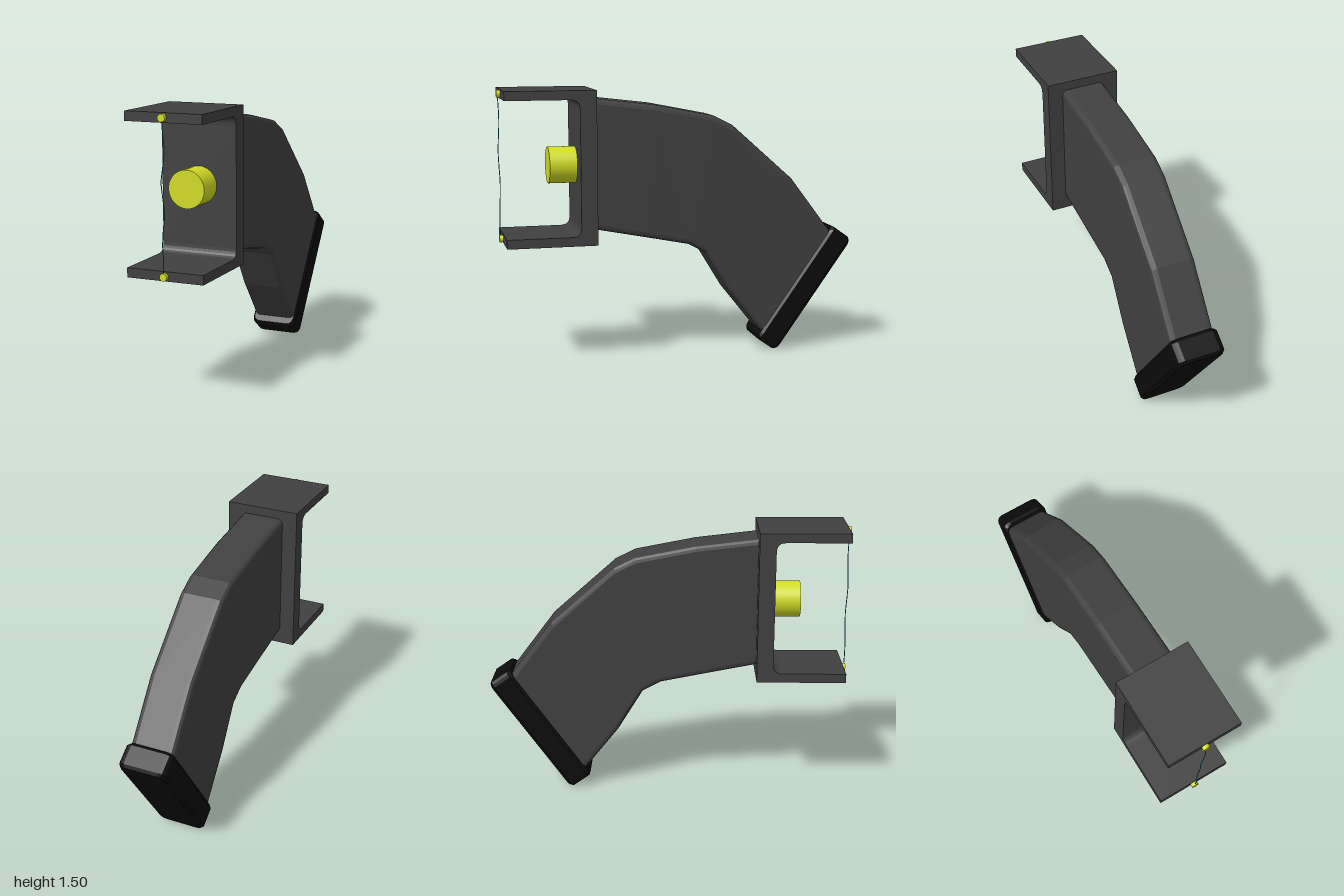
import * as THREE from 'three';

const frame = new THREE.MeshStandardMaterial({ color: 0x404040 });
frame.name = 'dark grey';
const rubber = new THREE.MeshStandardMaterial({ color: 0x0b0b0b });
rubber.name = 'black';
const glow = new THREE.MeshStandardMaterial({ color: 0xd2dc24 });
glow.name = 'yellow';
const arcBlue = new THREE.MeshStandardMaterial({ color: 0x1f8fa3 });
arcBlue.name = 'teal';

// Rounded-rectangle ring spanning an upper and a lower [z, y] point
function ring([tz, ty], [bz, by], w, r) {
  const h = Math.hypot(tz - bz, ty - by) / 2;
  const uz = (tz - bz) / 2 / h, uy = (ty - by) / 2 / h;
  const cz = (tz + bz) / 2, cy = (ty + by) / 2;
  const pts = [];
  [[1, 1], [-1, 1], [-1, -1], [1, -1]].forEach(([sx, su], q) => {
    for (let k = 0; k <= 3; k++) {
      const a = (q + k / 3) * Math.PI / 2;
      const x = sx * (w - r) + r * Math.cos(a);
      const u = su * (h - r) + r * Math.sin(a);
      pts.push([x, cy + uy * u, cz + uz * u]);
    }
  });
  return pts;
}

// Closed flat-shaded skin through a row of rings, front to back
function loft(rings) {
  const pos = [], n = rings[0].length;
  const tri = (a, b, c) => pos.push(...a, ...b, ...c);
  for (let s = 0; s < rings.length - 1; s++) {
    const A = rings[s], B = rings[s + 1];
    for (let i = 0; i < n; i++) {
      const j = (i + 1) % n;
      tri(A[i], B[i], A[j]);
      tri(B[i], B[j], A[j]);
    }
  }
  const F = rings[0], L = rings[rings.length - 1];
  for (let i = 1; i < n - 1; i++) {
    tri(F[0], F[i], F[i + 1]);
    tri(L[0], L[i + 1], L[i]);
  }
  const g = new THREE.BufferGeometry();
  g.setAttribute('position', new THREE.Float32BufferAttribute(pos, 3));
  g.computeVertexNormals();
  return g;
}

export function createModel() {
  const group = new THREE.Group();
  const add = (name, geometry, material) => {
    const mesh = new THREE.Mesh(geometry, material);
    mesh.name = name;
    group.add(mesh);
    return mesh;
  };

  // Forked bracket: C-shaped side profile with filleted inner corners
  const c = new THREE.Shape();
  c.moveTo(0.49, 0.68);
  c.lineTo(0.98, 0.68);
  c.lineTo(0.98, 0.73);
  c.lineTo(0.63, 0.73);
  c.quadraticCurveTo(0.58, 0.73, 0.58, 0.78);
  c.lineTo(0.58, 1.415);
  c.quadraticCurveTo(0.58, 1.465, 0.63, 1.465);
  c.lineTo(0.98, 1.465);
  c.lineTo(0.98, 1.515);
  c.lineTo(0.49, 1.515);
  const bracket = new THREE.ExtrudeGeometry(c, { depth: 0.42, bevelEnabled: false, curveSegments: 6 });
  bracket.translate(0, 0, -0.21).rotateY(-Math.PI / 2);
  add('forkBracket', bracket, frame);

  // Bent grip body
  const stations = [
    [[0.49, 1.465], [0.49, 0.75]],
    [[0.15, 1.425], [0.22, 0.697]],
    [[-0.18, 1.36], [-0.04, 0.645]],
    [[-0.29, 1.305], [-0.14, 0.59]],
    [[-0.64, 0.995], [-0.28, 0.36]],
    [[-0.87, 0.69], [-0.475, 0.115]],
  ];
  add('gripBody', loft(stations.map(([t, b]) => ring(t, b, 0.125, 0.03))), frame);

  // End cap of the grip, with softened rims
  const capTop = [[-0.885, 0.718], [-1.0, 0.637]];
  const capBottom = [[-0.436, 0.085], [-0.55, 0.003]];
  const lerp = (p, q, t) => [p[0] + (q[0] - p[0]) * t, p[1] + (q[1] - p[1]) * t];
  const capRings = [[0, 0.015], [0.12, 0], [0.88, 0], [1, 0.015]].map(([t, inset]) => {
    const top = lerp(...capTop, t), bottom = lerp(...capBottom, t);
    return ring(lerp(top, bottom, inset), lerp(bottom, top, inset), 0.136 - inset * 0.8, 0.035);
  });
  add('gripCap', loft(capRings), rubber);

  // Emitter barrel between the prongs
  add('emitter', new THREE.CylinderGeometry(0.1, 0.1, 0.16, 40).rotateX(Math.PI / 2), glow)
    .position.set(0, 1.1, 0.65);

  // Electrode at the tip of each prong
  for (const [name, y] of [['upperElectrode', 1.49], ['lowerElectrode', 0.703]]) {
    add(name, new THREE.CylinderGeometry(0.02, 0.02, 0.035, 16).rotateX(Math.PI / 2), glow)
      .position.set(0, y, 0.9825);
  }

  // Thin wavering arc between the electrodes
  const wobble = [0, 0.003, -0.002, 0.001, 0.008, 0.002, -0.005, 0.004, 0.011, 0.004, 0];
  const path = new THREE.CatmullRomCurve3(wobble.map((x, i) =>
    new THREE.Vector3(x, 0.703 + i * 0.0787, 0.992 + 0.003 * Math.sin(i * 1.3))));
  add('arc', new THREE.TubeGeometry(path, 50, 0.0025, 5), arcBlue);

  return group;
}
